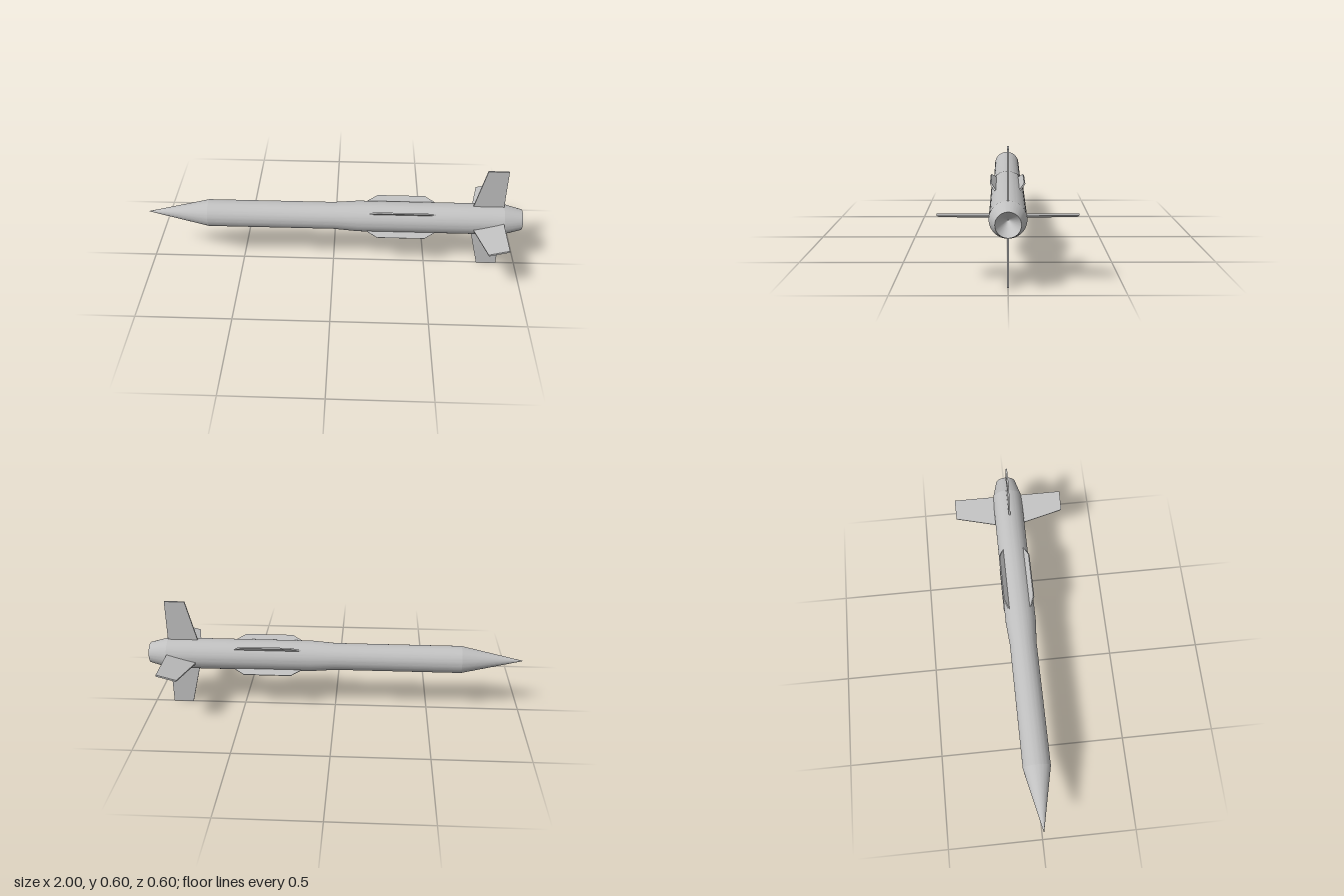
import * as THREE from 'three';
import { toCreasedNormals } from 'three/addons/utils/BufferGeometryUtils.js';

const AXIS_Y = 0.301; // height of the body axis
const THICK = 0.009;

// Flat plate outlined in (along body, outward) coordinates, centred in z
function plate(points, thickness = THICK) {
  const shape = new THREE.Shape(points.map(([x, y]) => new THREE.Vector2(x, y)));
  const geometry = new THREE.ExtrudeGeometry(shape, { depth: thickness, bevelEnabled: false });
  return geometry.translate(0, 0, -thickness / 2);
}

export function createModel() {
  const model = new THREE.Group();
  model.name = 'missile';
  const grey = new THREE.MeshStandardMaterial({ color: 0xc0c0c0 });
  grey.name = 'light grey';

  const axis = new THREE.Group();
  axis.name = 'airframe';
  axis.position.y = AXIS_Y;
  model.add(axis);

  // Body: pointed nose, slim front, wider rear, boat tail and hollow nozzle
  const profile = [
    [0, -1], [0.072, -0.67], [0.072, 0], [0.082, 0.13],
    [0.082, 0.9], [0.055, 1], [0, 0.9],
  ].map(([r, x]) => new THREE.Vector2(r, x));
  const bodyGeometry = new THREE.LatheGeometry(profile, 64).rotateZ(-Math.PI / 2);
  const body = new THREE.Mesh(toCreasedNormals(bodyGeometry, 0.15), grey);
  body.name = 'body';
  axis.add(body);

  // Four tail fins; the horizontal pair is deflected about its own hinge
  const hinge = 0.82;
  const finGeometry = plate([
    [0.74 - hinge, 0.07], [0.9 - hinge, 0.07], [0.9 - hinge, 0.301],
    [0.793 - hinge, 0.301], [0.74 - hinge, 0.082],
  ]);
  for (let i = 0; i < 4; i++) {
    const holder = new THREE.Group();
    holder.name = 'tailFin' + (i + 1);
    holder.position.x = hinge;
    holder.rotation.x = i * Math.PI / 2;
    const fin = new THREE.Mesh(finGeometry, grey);
    fin.name = 'finPlate';
    if (i === 1) fin.rotation.y = 0.27;
    if (i === 3) fin.rotation.y = -0.27;
    holder.add(fin);
    axis.add(holder);
  }

  // Four short diagonal strakes
  const strakeGeometry = plate([
    [0.18, 0.07], [0.54, 0.07], [0.54, 0.083], [0.487, 0.115], [0.235, 0.115], [0.18, 0.083],
  ], 0.008);
  for (let i = 0; i < 4; i++) {
    const strake = new THREE.Mesh(strakeGeometry, grey);
    strake.name = 'strake' + (i + 1);
    strake.rotation.x = Math.PI / 4 + i * Math.PI / 2;
    axis.add(strake);
  }

  return model;
}
